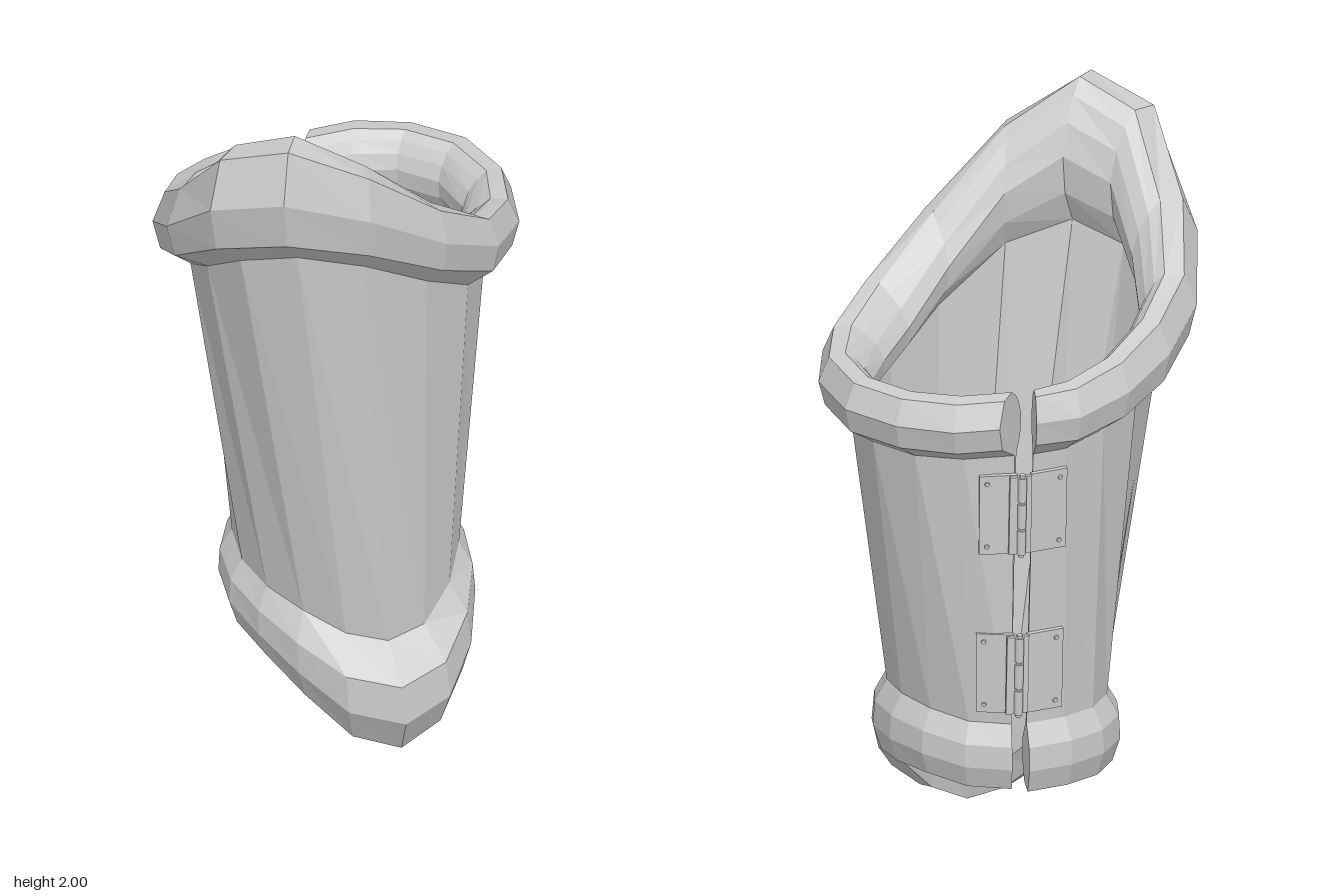
import * as THREE from 'three';

const grey = new THREE.MeshStandardMaterial({ color: 0xcccccc, flatShading: true });
const smooth = new THREE.MeshStandardMaterial({ color: 0xcccccc });

// One entry per column round the cuff, from one side of the seam to the other
const rimX = [0.30, 0.41, 0.51, 0.56, 0.52, 0.41, 0.24, 0.01, -0.25, -0.47, -0.56, -0.52, -0.40, -0.24, -0.07, 0.09, 0.20];
const rimZ = [-0.36, -0.31, -0.19, -0.03, 0.15, 0.29, 0.385, 0.425, 0.40, 0.30, 0.12, -0.08, -0.25, -0.36, -0.42, -0.43, -0.385];
const topY = [1.47, 1.47, 1.47, 1.47, 1.47, 1.48, 1.53, 1.67, 1.87, 2.00, 1.94, 1.75, 1.62, 1.56, 1.51, 1.48, 1.47];
const topJoin = [1.28, 1.28, 1.28, 1.28, 1.28, 1.28, 1.31, 1.42, 1.55, 1.61, 1.57, 1.47, 1.38, 1.33, 1.30, 1.28, 1.28];
const lowJoin = [0.49, 0.49, 0.50, 0.50, 0.49, 0.47, 0.41, 0.34, 0.32, 0.35, 0.40, 0.43, 0.45, 0.47, 0.48, 0.49, 0.49];
const lowY = [0.31, 0.31, 0.32, 0.31, 0.29, 0.24, 0.14, 0.045, 0.00, 0.04, 0.14, 0.22, 0.26, 0.28, 0.29, 0.30, 0.30];
const LAST = rimX.length - 1;

// Profiles: [outward amount, fraction from wall join to rim edge (lower) / crest to wall join (upper)]
const lowOuter = [[0.4, 1], [1, 0.65], [0.9, 0.3], [0, 0]];
const lowInner = [[-0.5, 0.95], [-1, 0.65], [-0.9, 0.3], [-0.2, 0]];
const topOuter = [[0, 1], [0.8, 0.74], [1, 0.38], [0.68, 0.025], [0.18, 0]];
const topInner = [[-0.12, 1], [-0.38, 0.76], [-0.45, 0.48], [-0.3, 0.26], [-0.08, 0.1]];

const angle = (i) => THREE.MathUtils.degToRad(-60 + 22 * i);
// 1 for a column facing the given direction, falling to 0 at right angles
const facing = (i, deg) => Math.max(0, Math.cos(angle(i) - THREE.MathUtils.degToRad(deg)));

// Point on the lower part, pushed out radially; the tongue leans to +x
function lowPoint(i, out, f) {
  const a = angle(i);
  return new THREE.Vector3(
    0.06 + (0.28 + out) * Math.cos(a) + 0.03 * f * facing(i, 116),
    THREE.MathUtils.lerp(lowJoin[i], lowY[i], f),
    (0.31 + out) * Math.sin(a));
}

// Point on the upper part: out = 0 at the wall, 1 at the widest rim
function topPoint(i, out, f) {
  const s = i >= 9 && i <= 11 ? 0.77 : i >= 2 && i <= 4 ? 0.82 : 0.8;
  let wx = 0.05 + (rimX[i] - 0.05) * s, wz = rimZ[i] * s;
  if (i === 0) [wx, wz] = [0.215, -0.305];
  if (i === LAST) [wx, wz] = [0.17, -0.325];
  return new THREE.Vector3(
    THREE.MathUtils.lerp(wx, rimX[i], out),
    THREE.MathUtils.lerp(topY[i], topJoin[i], f),
    THREE.MathUtils.lerp(wz, rimZ[i], out));
}

// Outer wall point at a given height
function wallPoint(i, y) {
  const lo = lowPoint(i, 0, 0), hi = topPoint(i, 0, 1);
  return lo.clone().lerp(hi, (y - lo.y) / (hi.y - lo.y));
}

// Thin cuff wall with rims rolled to both sides, open at the seam
function cuffGeometry() {
  const n = lowOuter.length + topOuter.length, m = 2 * n;
  const pos = [], idx = [];
  for (let i = 0; i <= LAST; i++) {
    const swell = 0.035 + 0.065 * facing(i, 116) ** 4;
    const lining = 0.05 + 0.04 * facing(i, 185);
    const padding = 1 + 0.95 * facing(i, 80) ** 2;
    const outer = [
      ...lowOuter.map(([o, f]) => lowPoint(i, o * swell, f)),
      ...topOuter.map(([o, f]) => topPoint(i, o, f))];
    const inner = [
      ...lowInner.map(([o, f]) => lowPoint(i, o * lining, f)),
      ...topInner.map(([o, f]) => topPoint(i, o * padding, f))];
    for (const p of [...outer, ...inner.reverse()]) pos.push(p.x, p.y, p.z);
  }
  const quad = (a, b, c, d) => idx.push(a, b, c, a, c, d);
  for (let i = 0; i < LAST; i++) {
    for (let k = 0; k < m; k++) {
      const a = i * m + k, d = i * m + (k + 1) % m;
      quad(a, d, d + m, a + m);
    }
  }
  // Seam ends
  const e = LAST * m;
  for (let k = 0; k < n - 1; k++) {
    quad(k, m - 1 - k, m - 2 - k, k + 1);
    quad(e + k, e + k + 1, e + m - 2 - k, e + m - 1 - k);
  }
  const g = new THREE.BufferGeometry();
  g.setAttribute('position', new THREE.Float32BufferAttribute(pos, 3));
  g.setIndex(idx);
  const flat = g.toNonIndexed();
  flat.computeVertexNormals();
  return flat;
}

function part(name, geometry, material, parent) {
  const mesh = new THREE.Mesh(geometry, material);
  mesh.name = name;
  parent.add(mesh);
  return mesh;
}

// Hinge leaf lying on the wall between an end column and its neighbour
function hingeLeaf(name, edge, next, y) {
  const leaf = new THREE.Group();
  leaf.name = name;
  const W = 0.1, H = 0.23;
  const p = wallPoint(edge, y);
  const along = wallPoint(next, y).sub(p).normalize();
  const side = edge === 0 ? -1 : 1;
  const right = along.clone().multiplyScalar(side);
  const up = wallPoint(edge, y + 0.2).sub(p).normalize();
  const out = new THREE.Vector3().crossVectors(right, up).normalize();
  up.crossVectors(out, right).normalize();
  leaf.setRotationFromMatrix(new THREE.Matrix4().makeBasis(right, up, out));
  leaf.position.copy(p).addScaledVector(along, W / 2 - 0.008).addScaledVector(out, 0.009);
  part('plate', new THREE.BoxGeometry(W, H, 0.012), grey, leaf);
  // Screws on the half away from the pin
  for (const sy of [-1, 1]) {
    const screw = part('screw', new THREE.CylinderGeometry(0.006, 0.007, 0.005, 8), smooth, leaf);
    screw.rotation.x = Math.PI / 2;
    screw.position.set(side * W * 0.3, sy * H * 0.4, 0.008);
  }
  return leaf;
}

function hinge(name, y) {
  const group = new THREE.Group();
  group.name = name;
  group.add(hingeLeaf('leftLeaf', 0, 1, y), hingeLeaf('rightLeaf', LAST, LAST - 1, y));
  const mid = (h) => wallPoint(0, h).add(wallPoint(LAST, h)).multiplyScalar(0.5);
  const barrel = new THREE.Group();
  barrel.name = 'barrel';
  barrel.position.copy(mid(y)).add(new THREE.Vector3(0.018, 0, -0.022));
  barrel.quaternion.setFromUnitVectors(new THREE.Vector3(0, 1, 0), mid(y + 0.2).sub(mid(y)).normalize());
  part('pin', new THREE.CylinderGeometry(0.008, 0.008, 0.24, 8), smooth, barrel);
  for (let k = -1; k <= 1; k++) {
    part('knuckle', new THREE.CylinderGeometry(0.012, 0.012, 0.07, 10), smooth, barrel).position.y = k * 0.077;
  }
  // Tabs joining the leaves to the barrel
  for (const s of [-1, 1]) {
    const tab = part('tab', new THREE.BoxGeometry(0.03, 0.225, 0.01), grey, barrel);
    tab.position.set(s * 0.014, 0, 0.008 + s * 0.004);
    tab.rotation.y = -0.4;
  }
  group.add(barrel);
  return group;
}

export function createModel() {
  const model = new THREE.Group();
  model.name = 'armGuard';
  part('cuff', cuffGeometry(), grey, model);
  model.add(hinge('lowerHinge', 0.645), hinge('upperHinge', 1.115));
  return model;
}
